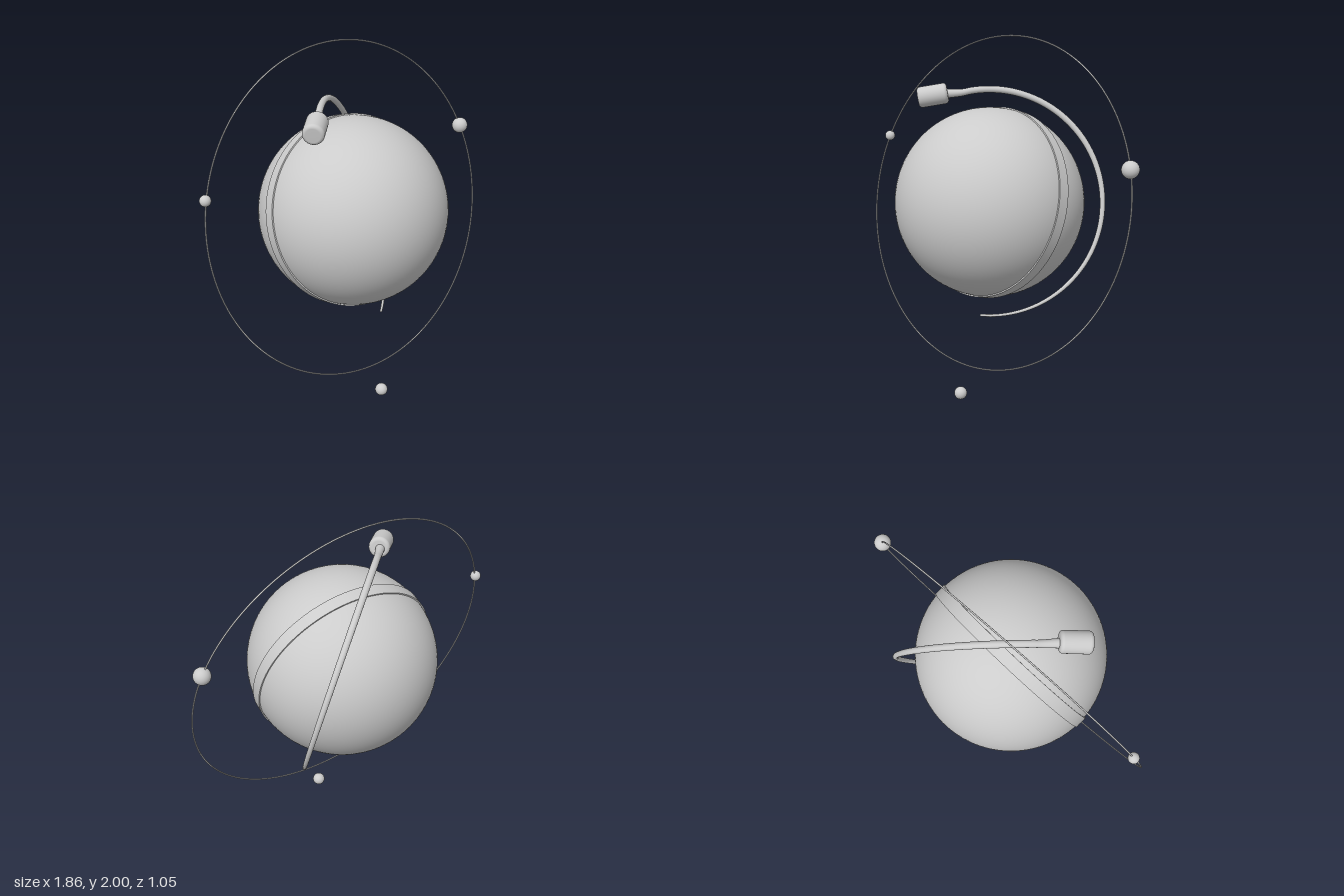
import * as THREE from 'three';

const CENTRE = new THREE.Vector3(0, 1.097, 0);
const Y = new THREE.Vector3(0, 1, 0);
const Z = new THREE.Vector3(0, 0, 1);

export function createModel() {
  const group = new THREE.Group();
  const material = new THREE.MeshStandardMaterial({ color: 0xcccccc });

  const add = (name, geometry, position, from, to) => {
    const mesh = new THREE.Mesh(geometry, material);
    mesh.name = name;
    mesh.position.copy(position);
    if (to) mesh.quaternion.setFromUnitVectors(from, to.clone().normalize());
    group.add(mesh);
    return mesh;
  };

  // Main globe
  add('globe', new THREE.SphereGeometry(0.525, 96, 64), CENTRE);

  // Thin raised band around the globe: each profile edge is its own lathe to keep corners sharp
  const bandAxis = new THREE.Vector3(-0.14, 0.32, 1);
  const bandProfile = [[0.515, -0.034], [0.531, -0.034], [0.531, 0.034], [0.515, 0.034]]
    .map(([r, y]) => new THREE.Vector2(r, y));
  for (let i = 0; i < 3; i++) {
    add('globeBand', new THREE.LatheGeometry(bandProfile.slice(i, i + 2), 128), CENTRE, Y, bandAxis);
  }

  // Fine orbit ring
  add('orbitRing', new THREE.TorusGeometry(0.9265, 0.0042, 8, 192), CENTRE, Z,
    new THREE.Vector3(-0.076, 0.236, 1));

  // Beads on and below the orbit
  for (const [name, r, x, y, z] of [
    ['leftBead', 0.046, 0.88, 1.385, 0],
    ['rightBead', 0.03, -0.88, 1.37, -0.133],
    ['lowerBead', 0.036, -0.012, 0.037, 0.25],
  ]) add(name, new THREE.SphereGeometry(r, 32, 24), new THREE.Vector3(x, y, z));

  // Tapering arm: an arc on a tilted circle around the globe
  const armAxis = new THREE.Vector3(-0.61, -0.265, -0.745).normalize();
  const up = Y.clone().addScaledVector(armAxis, -armAxis.y).normalize();
  const along = armAxis.clone().cross(up);
  const points = [new THREE.Vector3(-0.31, 1.68, 0.05)];
  for (let i = 0; i <= 40; i++) {
    const a = THREE.MathUtils.lerp(-0.24, Math.PI + 0.08, i / 40);
    points.push(CENTRE.clone()
      .addScaledVector(up, 0.63 * Math.cos(a))
      .addScaledVector(along, 0.63 * Math.sin(a)));
  }
  const path = new THREE.CatmullRomCurve3(points);
  const SEGMENTS = 140, SIDES = 16, BASE = 0.02;
  const armGeometry = new THREE.TubeGeometry(path, SEGMENTS, BASE, SIDES);
  const pos = armGeometry.attributes.position;
  const v = new THREE.Vector3();
  for (let i = 0; i <= SEGMENTS; i++) {
    const t = i / SEGMENTS;
    const radius = 0.0195 - 0.0125 * t ** 1.6 + 0.008 * Math.max(0, 1 - t / 0.06);
    const c = path.getPointAt(t);
    for (let j = 0; j <= SIDES; j++) {
      const k = i * (SIDES + 1) + j;
      v.fromBufferAttribute(pos, k).sub(c).multiplyScalar(radius / BASE).add(c);
      pos.setXYZ(k, v.x, v.y, v.z);
    }
  }
  add('arm', armGeometry, new THREE.Vector3());
  add('armTip', new THREE.SphereGeometry(0.007, 12, 8), points[points.length - 1]);

  // Rounded cylindrical head at the start of the arm
  const R = 0.058, H = 0.084, B = 0.02;
  const profile = [new THREE.Vector2(0, -H)];
  for (const s of [-1, 1]) {
    for (let i = 0; i <= 6; i++) {
      const a = (s < 0 ? i - 6 : i) / 6 * Math.PI / 2;
      profile.push(new THREE.Vector2(R - B + B * Math.cos(a), s * (H - B) + B * Math.sin(a)));
    }
  }
  profile.push(new THREE.Vector2(0, H));
  add('armHead', new THREE.LatheGeometry(profile, 40), new THREE.Vector3(-0.338, 1.673, 0.08), Y,
    new THREE.Vector3(-0.76, -0.16, 0.63));

  return group;
}
